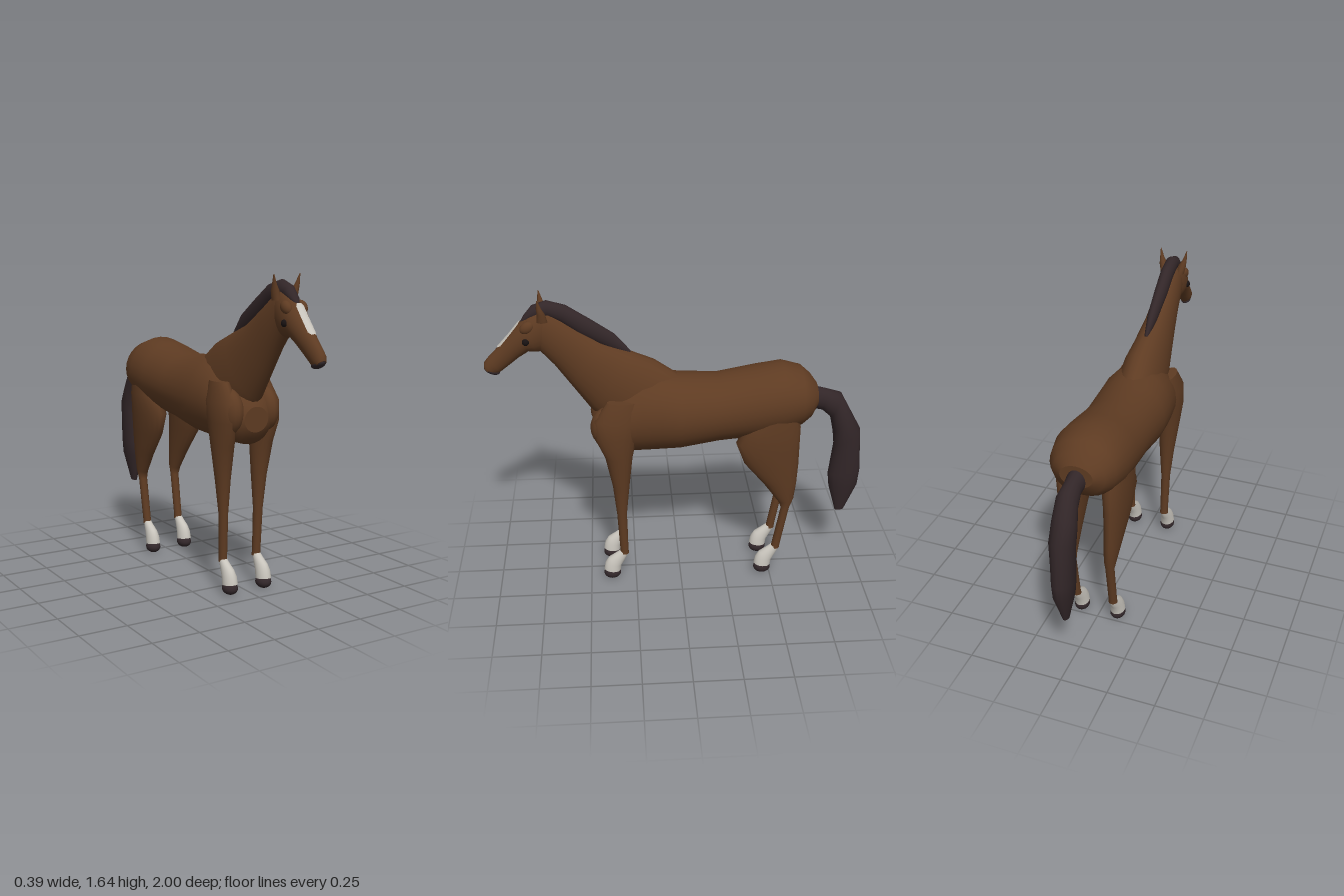
import * as THREE from 'three';

const mat = (name, color, side = THREE.FrontSide) => {
  const m = new THREE.MeshStandardMaterial({ color, side });
  m.name = name;
  return m;
};

// Skin a row of elliptical rings. Each ring: [zTop, yTop, zBottom, yBottom, halfWidth, centreX = 0]
function loft(rings, sides = 22) {
  const pos = [], idx = [], n = rings.length;
  for (const [zt, yt, zb, yb, w, cx = 0] of rings) {
    for (let i = 0; i < sides; i++) {
      const a = (i / sides) * Math.PI * 2, s = Math.sin(a) / 2;
      pos.push(cx + Math.cos(a) * w, (yt + yb) / 2 + s * (yt - yb), (zt + zb) / 2 + s * (zt - zb));
    }
  }
  for (let r = 0; r < n - 1; r++) {
    for (let i = 0; i < sides; i++) {
      const a = r * sides + i, b = r * sides + (i + 1) % sides;
      idx.push(a, b, a + sides, b, b + sides, a + sides);
    }
  }
  // end caps with their own vertices so the rims stay crisp
  for (const [r, flip] of [[0, true], [n - 1, false]]) {
    const start = pos.length / 3, [zt, yt, zb, yb, , cx = 0] = rings[r];
    pos.push(...pos.slice(r * sides * 3, (r + 1) * sides * 3), cx, (yt + yb) / 2, (zt + zb) / 2);
    for (let i = 0; i < sides; i++) {
      const a = start + i, b = start + (i + 1) % sides, c = start + sides;
      idx.push(...(flip ? [b, a, c] : [a, b, c]));
    }
  }
  // turn the faces outward if the signed volume is negative
  let vol = 0;
  const p = i => new THREE.Vector3().fromArray(pos, i * 3);
  for (let i = 0; i < idx.length; i += 3) vol += p(idx[i]).dot(p(idx[i + 1]).cross(p(idx[i + 2])));
  if (vol < 0) idx.reverse();
  const g = new THREE.BufferGeometry();
  g.setAttribute('position', new THREE.Float32BufferAttribute(pos, 3));
  g.setIndex(idx);
  g.computeVertexNormals();
  return g;
}

// Thin painted strip over the upper side of a row of rings, each with its own strip half width
function strip(rings, steps = 8) {
  const pos = [], idx = [];
  for (const [zt, yt, zb, yb, w, half] of rings) {
    for (let i = 0; i <= steps; i++) {
      const x = half * (1 - (2 * i) / steps), s = Math.sqrt(1 - (x / w) ** 2) / 2;
      pos.push(x, (yt + yb) / 2 + s * (yt - yb) + 0.004, (zt + zb) / 2 + s * (zt - zb) + 0.004);
    }
  }
  for (let r = 0; r < rings.length - 1; r++) {
    for (let i = 0; i < steps; i++) {
      const a = r * (steps + 1) + i, b = a + steps + 1;
      idx.push(a, a + 1, b, a + 1, b + 1, b);
    }
  }
  const g = new THREE.BufferGeometry();
  g.setAttribute('position', new THREE.Float32BufferAttribute(pos, 3));
  g.setIndex(idx);
  g.computeVertexNormals();
  return g;
}

export function createModel() {
  const model = new THREE.Group();
  model.name = 'horse';
  const coat = mat('brown coat', 0x5e3b22);
  const hair = mat('dark hair', 0x322628);
  const hoofMat = mat('dark hoof', 0x32272a);
  const white = mat('white marking', 0xc8c4bc, THREE.DoubleSide);
  const black = mat('black eye', 0x181212);

  const add = (name, geo, material) => {
    const m = new THREE.Mesh(geo, material);
    m.name = name;
    model.add(m);
    return m;
  };
  const ball = (name, material, c, r, rx = 0) => {
    const m = add(name, new THREE.SphereGeometry(1, 20, 14), material);
    m.position.set(...c);
    m.scale.set(...r);
    m.rotation.x = rx;
    return m;
  };

  // Trunk from rump to chest
  add('body', loft([
    [-.725, 1.12, -.725, 1.0, .085], [-.69, 1.17, -.69, .94, .135], [-.64, 1.215, -.64, .9, .172],
    [-.54, 1.243, -.54, .86, .195], [-.4, 1.222, -.4, .84, .195], [-.2, 1.185, -.2, .82, .187],
    [0, 1.195, 0, .785, .197], [.1, 1.21, .1, .78, .195], [.2, 1.2, .2, .775, .185],
    [.3, 1.15, .3, .775, .168], [.4, 1.07, .4, .78, .145], [.44, 1.02, .44, .815, .11],
    [.46, .98, .46, .85, .07],
  ], 28), coat);

  // Neck from withers to poll
  add('neck', loft([
    [0, 1.19, .36, .92, .12], [.13, 1.28, .42, .97, .115], [.25, 1.33, .465, 1.02, .1],
    [.4, 1.39, .57, 1.17, .08], [.53, 1.475, .64, 1.27, .068], [.65, 1.56, .71, 1.35, .06],
    [.7, 1.57, .76, 1.39, .05],
  ]), coat);

  // Head and its details
  add('head', loft([
    [.66, 1.56, .66, 1.38, .045], [.7, 1.58, .69, 1.35, .06], [.765, 1.54, .725, 1.345, .064],
    [.81, 1.5, .765, 1.35, .061], [.86, 1.44, .82, 1.315, .05], [.92, 1.375, .87, 1.275, .038],
    [.97, 1.325, .915, 1.24, .033], [.996, 1.293, .94, 1.228, .032], [1.0, 1.265, .965, 1.232, .024],
  ]), coat);
  add('blaze', strip([
    [.8, 1.509, .757, 1.35, .062, .012], [.81, 1.5, .765, 1.35, .061, .022],
    [.86, 1.44, .82, 1.315, .05, .022], [.905, 1.391, .858, 1.285, .041, .022],
    [.92, 1.375, .87, 1.275, .038, .012],
  ]), white);
  ball('lowerLip', hoofMat, [0, 1.246, .96], [.029, .019, .042], -.4);

  // Mane along the crest, ending in a forelock
  add('mane', loft([
    [.25, 1.335, .26, 1.31, .01], [.33, 1.43, .38, 1.36, .026], [.45, 1.512, .52, 1.44, .033],
    [.57, 1.59, .6, 1.5, .035], [.667, 1.617, .66, 1.53, .035], [.74, 1.592, .7, 1.53, .032],
    [.782, 1.54, .75, 1.52, .026], [.802, 1.505, .785, 1.5, .01],
  ], 16), hair);

  // Tail
  add('tail', loft([
    [-.7, 1.105, -.7, .98, .05], [-.78, 1.085, -.76, .965, .045], [-.86, 1.06, -.81, .92, .055],
    [-.92, .95, -.83, .83, .063], [-.98, .84, -.84, .75, .064], [-.997, .59, -.82, .57, .056],
    [-.99, .5, -.83, .49, .05], [-.925, .335, -.875, .33, .015],
  ], 16), hair);

  const frontLeg = [
    [.38, 1.1, .22, 1.1, .035, .12], [.45, 1.0, .2, 1.0, .058, .125], [.45, .9, .23, .9, .06, .125],
    [.4, .78, .255, .78, .057, .117], [.365, .6, .275, .6, .04, .11], [.347, .42, .293, .42, .025, .106],
    [.335, .18, .29, .18, .022, .103], [.337, .16, .288, .16, .024, .103],
  ];
  const hindLeg = [
    [-.42, 1.05, -.6, 1.05, .05, .125], [-.345, .93, -.63, .93, .068, .12], [-.29, .84, -.63, .8, .065, .12],
    [-.335, .72, -.63, .7, .055, .118], [-.45, .58, -.625, .58, .043, .113], [-.535, .46, -.615, .48, .031, .108],
    [-.55, .42, -.595, .42, .024, .105], [-.508, .18, -.554, .18, .022, .103], [-.504, .16, -.552, .16, .024, .103],
  ];
  const sock = [
    [.338, .175, .29, .165, .021, .103], [.365, .155, .297, .145, .024, .103], [.4, .132, .312, .115, .03, .103],
    [.42, .1, .33, .085, .036, .103], [.428, .06, .336, .05, .039, .103],
  ];
  const place = (rings, s, dz = 0) => rings.map(([zt, yt, zb, yb, w, x]) => [zt + dz, yt, zb + dz, yb, w, x * s]);

  for (const s of [1, -1]) {
    const side = s > 0 ? 'left' : 'right';
    // Legs with socks and hooves
    for (const [name, rings, dz] of [['FrontLeg', frontLeg, 0], ['HindLeg', hindLeg, -.84]]) {
      add(side + name, loft(place(rings, s), 18), coat);
      add(side + name + 'Sock', loft(place(sock, s, dz), 18), white);
      ball(side + name + 'Hoof', hoofMat, [s * .103, .034, .382 + dz], [.04, .034, .047]);
    }
    // Shoulder muscle
    ball(side + 'Shoulder', coat, [s * .105, .95, .365], [.065, .12, .105]);
    // Eye, brow and ear
    ball(side + 'Eye', black, [s * .06, 1.42, .775], [.016, .018, .018]);
    ball(side + 'Brow', coat, [s * .043, 1.49, .765], [.025, .03, .04], .6);
    add(side + 'Ear', loft([
      [.715, 1.52, .66, 1.52, .022, s * .045], [.71, 1.565, .67, 1.565, .021, s * .055],
      [.712, 1.595, .685, 1.595, .011, s * .065], [.708, 1.643, .703, 1.643, .002, s * .074],
    ], 12), coat);
  }
  return model;
}
